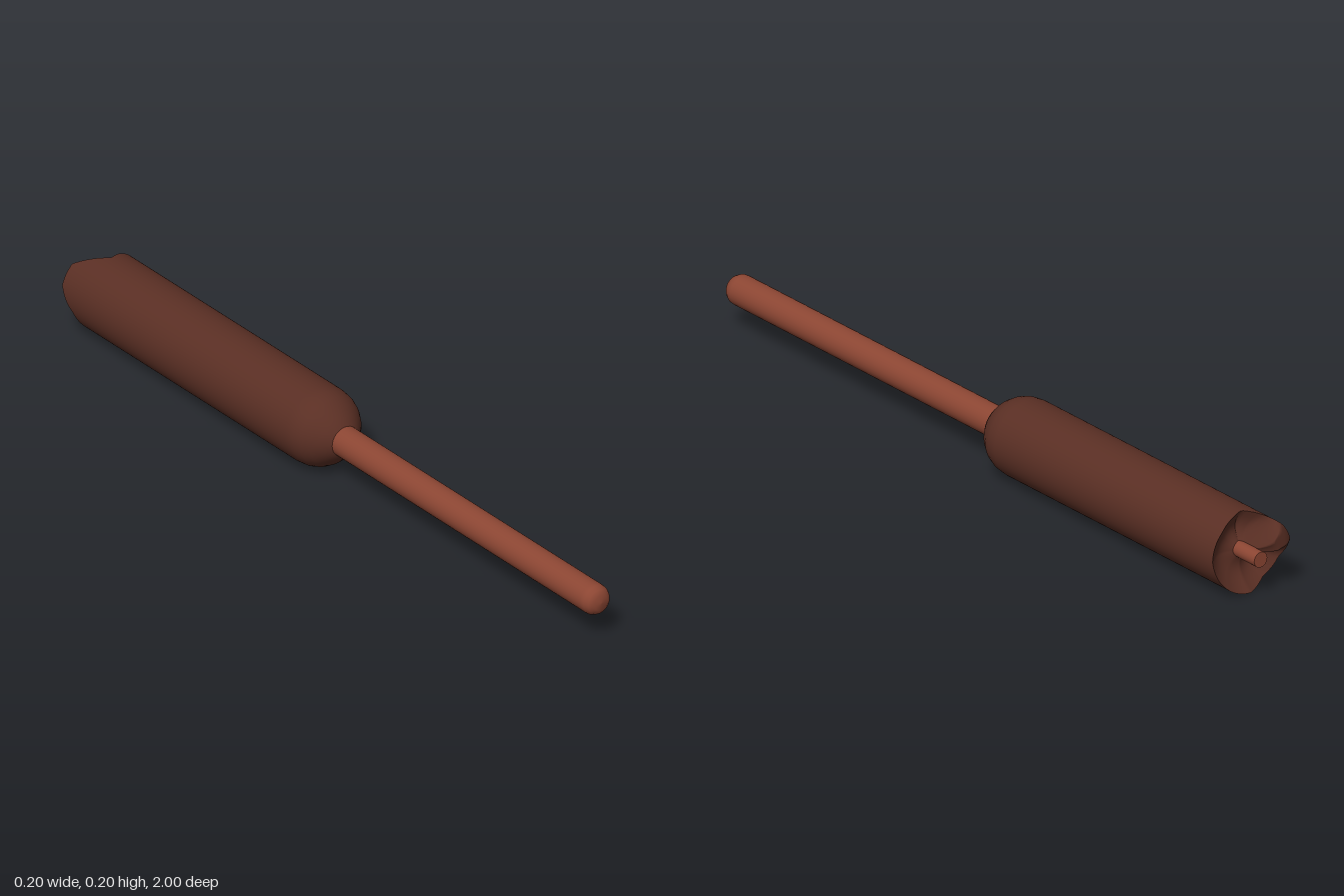
import * as THREE from 'three';

const CY = 0.101; // height of the long axis

// Keyframes: [angle in degrees from +x toward +y, end depth at the rim]
const RIM = [[0, 0.935], [45, 0.935], [75, 0.925], [92, 0.915], [112, 0.95], [132, 0.985],
  [165, 0.985], [185, 0.965], [200, 0.945], [235, 0.93], [270, 0.955], [310, 0.95], [360, 0.935]];

function rimDepth(deg) {
  const a = ((deg % 360) + 360) % 360;
  for (let i = 1; i < RIM.length; i++) {
    const [a0, d0] = RIM[i - 1], [a1, d1] = RIM[i];
    if (a <= a1) return d0 + (d1 - d0) * (a - a0) / (a1 - a0);
  }
  return RIM[0][1];
}

// Depth of the broken end: rounded high lobe, shallow scoops elsewhere
function endDepth(x, y) {
  const r = Math.min(1, Math.hypot(x, y) / 0.1);
  const rim = rimDepth(THREE.MathUtils.radToDeg(Math.atan2(y, x)));
  const lobe = Math.max(0, (rim - 0.955) / 0.03);
  const scoop = -0.025 * Math.sin(Math.PI * r) * (1 - lobe);
  const bulge = 0.045 * lobe * Math.sin(Math.PI * r);
  return Math.min(1, 0.925 + (rim - 0.925) * r + scoop + bulge);
}

// Profile of [radius, depth] turned about the long axis; depth runs toward -z
function turned(name, points, color, segments = 48) {
  const g = new THREE.LatheGeometry(points.map(([r, d]) => new THREE.Vector2(r, d)), segments);
  g.rotateX(-Math.PI / 2);
  const mesh = new THREE.Mesh(g, new THREE.MeshStandardMaterial({ color }));
  mesh.name = name;
  mesh.position.y = CY;
  return mesh;
}

export function createModel() {
  const group = new THREE.Group();
  const brown = 0x5a2f24, red = 0x8c4633;

  // Stick with a rounded tip
  group.add(turned('stick', [[0, -1], [0.02, -0.998], [0.032, -0.99], [0.038, -0.978],
    [0.039, -0.965], [0.039, 0.1]], red, 32));

  // Body side, its far edge following the broken rim
  const body = turned('body', [[0.03, 0], [0.042, 0.005], [0.06, 0.022], [0.078, 0.042], [0.09, 0.062],
    [0.097, 0.082], [0.1, 0.11], [0.1, 0.5], [0.1, 0.88], [0.1, 1]], brown, 96);
  const p = body.geometry.attributes.position;
  for (let i = 0; i < p.count; i++) {
    if (p.getZ(i) < -0.99) p.setZ(i, -endDepth(p.getX(i), p.getY(i)));
  }

  // Broken end face inside the rim
  const rings = [];
  for (let i = 12; i >= 0; i--) rings.push([0.1 * i / 12, 0.93]);
  const end = turned('brokenEnd', rings, brown, 96);
  const q = end.geometry.attributes.position;
  for (let i = 0; i < q.count; i++) q.setZ(i, -endDepth(q.getX(i), q.getY(i)));
  end.geometry.computeVertexNormals();
  group.add(body, end);

  // Stub of the core showing in the broken end
  const stub = turned('coreStub', [[0.02, 0.85], [0.02, 0.993], [0.02, 0.993], [0, 0.993]], red, 24);
  group.add(stub);
  return group;
}
